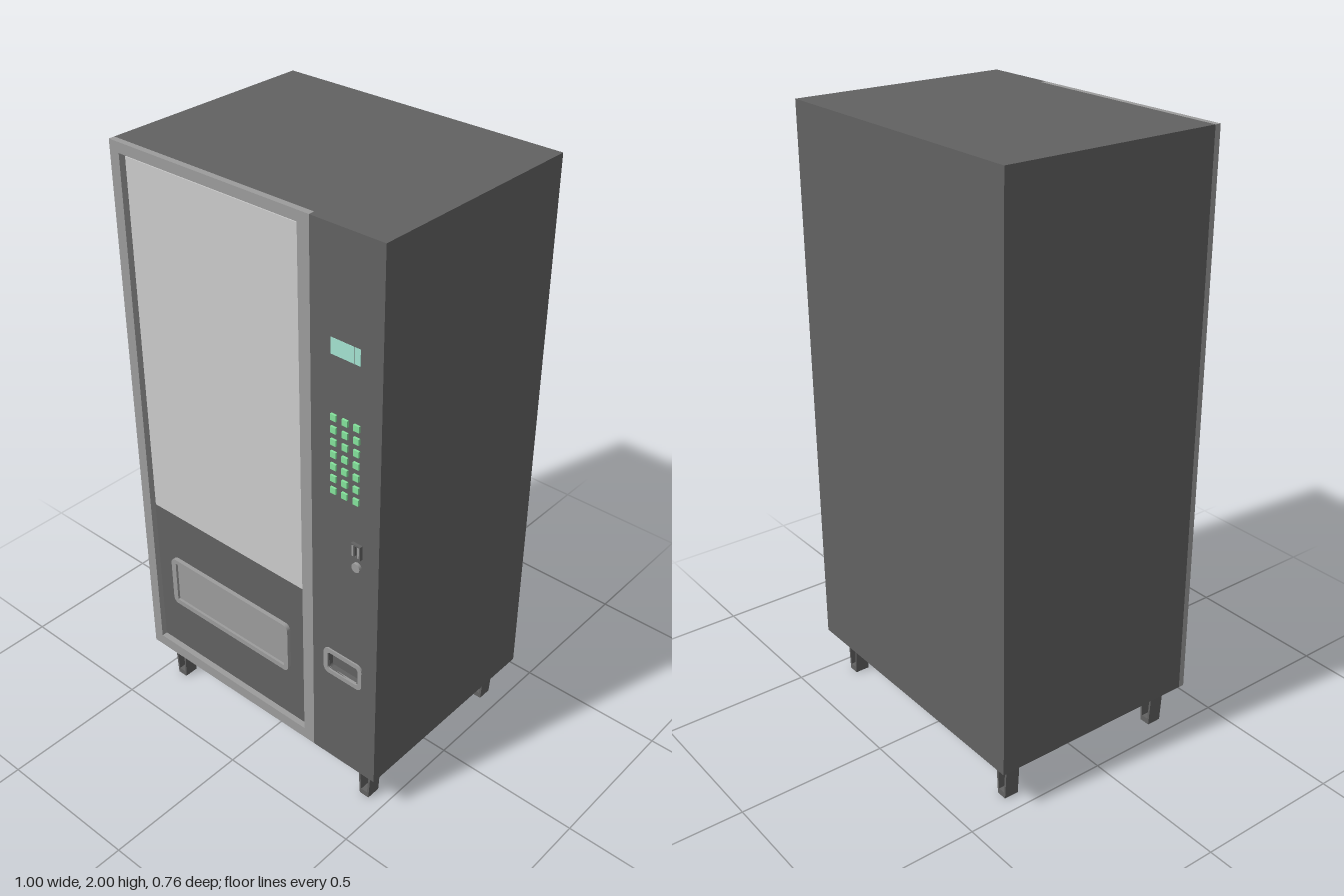
import * as THREE from 'three';

const mat = (color) => new THREE.MeshStandardMaterial({ color });

// Rounded rectangle outline, given by its edges
function outline(Type, x0, x1, y0, y1, r = 0) {
  const p = new Type();
  if (r === 0) {
    p.moveTo(x0, y0); p.lineTo(x1, y0); p.lineTo(x1, y1); p.lineTo(x0, y1);
  } else {
    p.absarc(x1 - r, y1 - r, r, 0, Math.PI / 2);
    p.absarc(x0 + r, y1 - r, r, Math.PI / 2, Math.PI);
    p.absarc(x0 + r, y0 + r, r, Math.PI, Math.PI * 1.5);
    p.absarc(x1 - r, y0 + r, r, Math.PI * 1.5, Math.PI * 2);
  }
  p.closePath();
  return p;
}

export function createModel() {
  const model = new THREE.Group();
  model.name = 'vendingMachine';
  const dark = mat(0x626262), light = mat(0x9c9c9c), glass = mat(0xcccccc);
  const teal = mat(0xa5e4d2), green = mat(0x84e39c);

  function add(name, geometry, material, parent = model) {
    const mesh = new THREE.Mesh(geometry, material);
    mesh.name = name;
    parent.add(mesh);
    return mesh;
  }
  // Box given by its extents
  function box(name, material, x0, x1, y0, y1, z0, z1, parent) {
    const g = new THREE.BoxGeometry(x1 - x0, y1 - y0, z1 - z0);
    g.translate((x0 + x1) / 2, (y0 + y1) / 2, (z0 + z1) / 2);
    return add(name, g, material, parent);
  }
  // Plate facing +z with an optional hole
  function plate(name, material, outer, hole, z0, z1, parent) {
    const shape = outline(THREE.Shape, ...outer);
    if (hole) shape.holes.push(outline(THREE.Path, ...hole));
    const g = new THREE.ExtrudeGeometry(shape, { depth: z1 - z0, bevelEnabled: false, curveSegments: 6 });
    g.translate(0, 0, z0);
    return add(name, g, material, parent);
  }

  // Cabinet
  box('cabinet', dark, -0.5, 0.5, 0.15, 2, -0.38, 0.35);

  // Door: frame, window and delivery flap
  const door = new THREE.Group();
  door.name = 'door';
  model.add(door);
  plate('doorFrame', light, [-0.5, 0.25, 0.15, 2], [-0.463, 0.208, 0.19, 1.967], 0.35, 0.37, door);
  box('window', glass, -0.454, 0.2, 0.755, 1.956, 0.349, 0.356, door);
  plate('flapFrame', light, [-0.39, 0.135, 0.385, 0.572, 0.02], [-0.37, 0.117, 0.403, 0.556, 0.004], 0.349, 0.364, door);
  box('deliveryFlap', light, -0.367, 0.114, 0.406, 0.553, 0.349, 0.358, door);

  // Control panel
  const panel = new THREE.Group();
  panel.name = 'controlPanel';
  model.add(panel);
  plate('panelFace', dark, [0.25, 0.5, 0.15, 2], [0.312, 0.432, 0.521, 0.587, 0.01], 0.35, 0.37, panel);
  plate('changeReturnRim', light, [0.297, 0.447, 0.505, 0.603, 0.02], [0.312, 0.432, 0.521, 0.587, 0.01], 0.365, 0.375, panel);
  box('display', teal, 0.322, 0.402, 1.63, 1.68, 0.365, 0.371, panel);
  box('displayEnd', teal, 0.404, 0.425, 1.63, 1.68, 0.365, 0.371, panel);

  // Keypad
  for (let row = 0; row < 7; row++) {
    for (let col = 0; col < 3; col++) {
      const x = 0.335 + col * 0.041, y = 1.199 + row * 0.04;
      box('key', green, x - 0.01, x + 0.01, y - 0.01, y + 0.01, 0.365, 0.377, panel);
    }
  }

  // Coin slot and return button
  plate('coinSlot', dark, [0.405, 0.44, 1.007, 1.055], [0.419, 0.426, 1.013, 1.05], 0.365, 0.38, panel);
  for (const x of [0.412, 0.433])
    box('coinGuide', light, x - 0.003, x + 0.003, 1.013, 1.05, 0.37, 0.381, panel);
  const button = add('returnButton', new THREE.CylinderGeometry(0.015, 0.015, 0.015, 20), light, panel);
  button.rotation.x = Math.PI / 2;
  button.position.set(0.423, 0.973, 0.3725);

  // Base rails in a ring under the cabinet
  const base = new THREE.Group();
  base.name = 'base';
  model.add(base);
  const rails = plate('baseRails', dark, [-0.45, 0.45, -0.325, 0.33], [-0.415, 0.415, -0.29, 0.295], 0, 0.045, base);
  rails.rotation.x = -Math.PI / 2;
  rails.position.y = 0.105;

  // Legs: tapered straps folded into a U
  const strap = new THREE.Shape([
    [-0.025, 0.107], [-0.018, 0], [0.018, 0], [0.025, 0.107],
    [0.018, 0.107], [0.012, 0.02], [-0.012, 0.02], [-0.018, 0.107],
  ].map(([x, y]) => new THREE.Vector2(x, y)));
  const legGeometry = new THREE.ExtrudeGeometry(strap, { depth: 0.05, bevelEnabled: false });
  legGeometry.translate(0, 0, -0.025);
  for (const x of [-0.425, 0.425]) {
    for (const z of [-0.305, 0.3]) add('leg', legGeometry, dark, base).position.set(x, 0, z);
  }

  return model;
}
